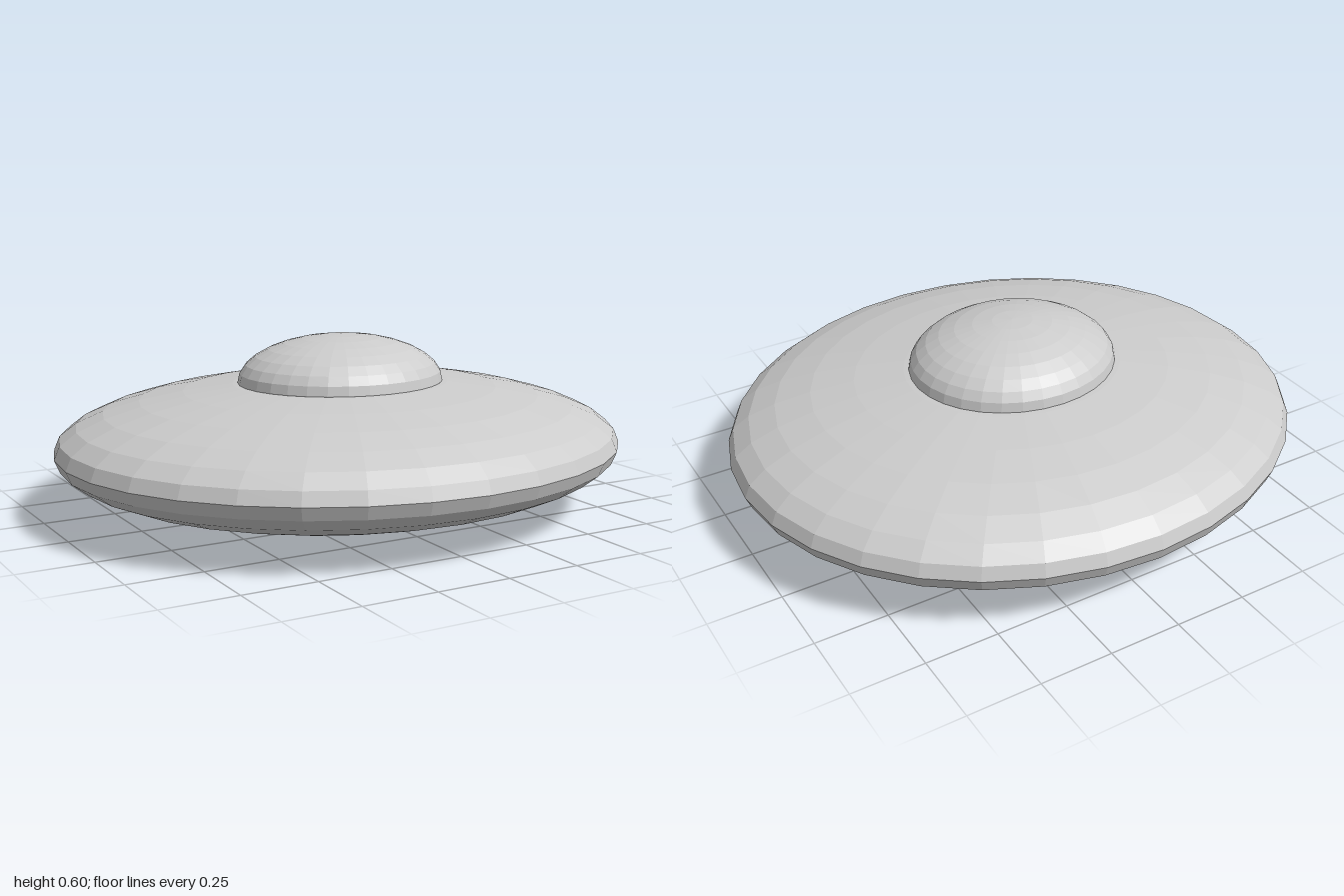
import * as THREE from 'three';

const material = new THREE.MeshStandardMaterial({ color: 0xcccccc, flatShading: true });

// Faceted ellipsoid with radii rx, ry, rz, centred at height y
function ellipsoid(name, rx, ry, rz, y) {
  const geometry = new THREE.SphereGeometry(1, 32, 16);
  geometry.scale(rx, ry, rz);
  const mesh = new THREE.Mesh(geometry, material);
  mesh.name = name;
  mesh.position.y = y;
  return mesh;
}

export function createModel() {
  const group = new THREE.Group();
  group.name = 'flyingSaucer';
  // Wide flattened hull
  group.add(ellipsoid('hull', 1, 0.228, 0.903, 0.228));
  // Cabin dome, its lower half sunk into the hull
  group.add(ellipsoid('dome', 0.365, 0.16, 0.327, 0.442));
  return group;
}
